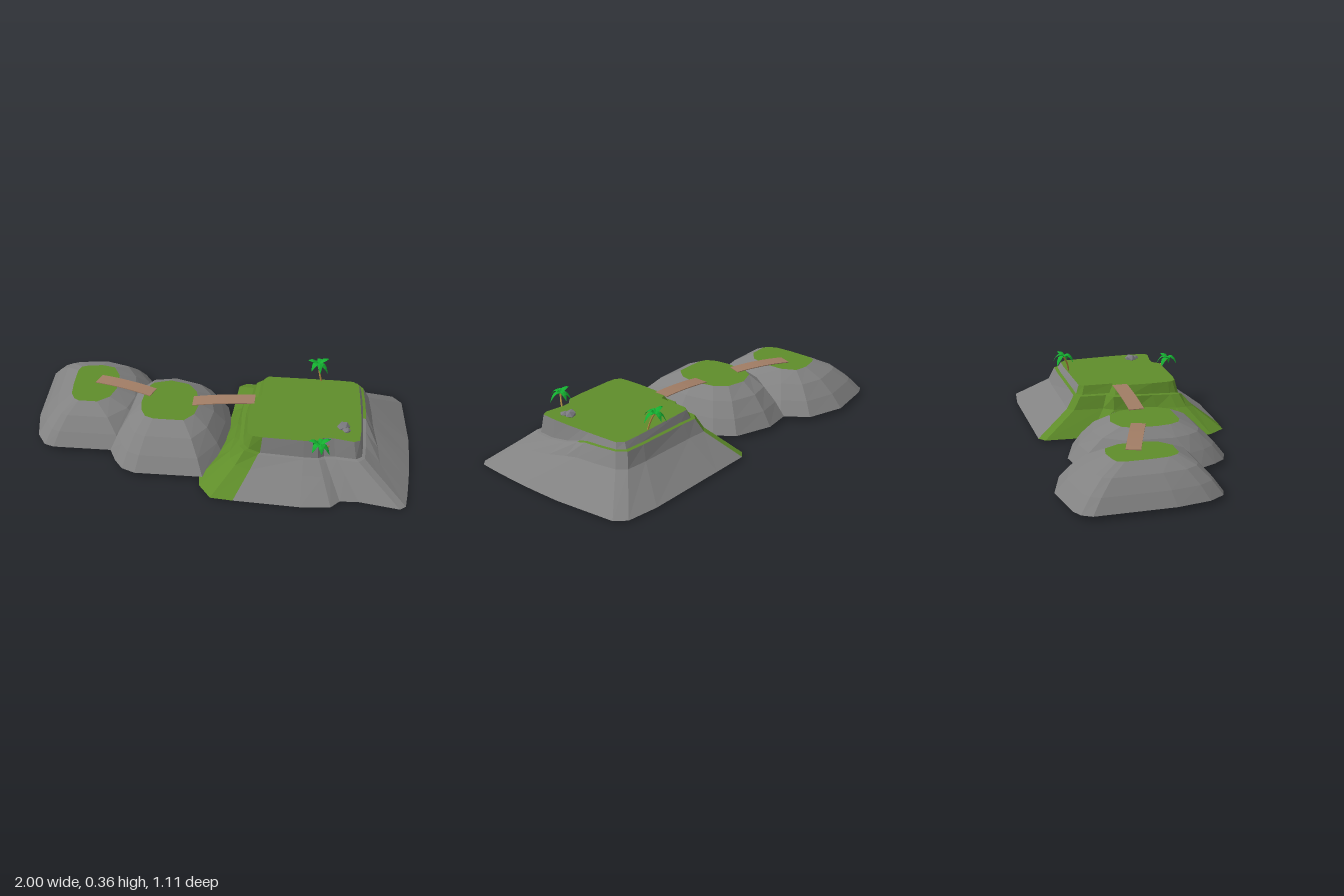
import * as THREE from 'three';

const mat = (name, color) => new THREE.MeshStandardMaterial({ name, color, flatShading: true, side: THREE.DoubleSide });
const rock = mat('rock', 0x828282);
const grass = mat('grass', 0x5f8d2a);
const wood = mat('bridgeWood', 0xa07c64);
const bark = mat('bark', 0xa8863f);
const leaf = mat('palmLeaf', 0x14ae30);
const boulderMat = mat('boulder', 0x7b7a80);

const V = (x, y, z) => new THREE.Vector3(x, y, z);

function add(group, name, geometry, material) {
  const mesh = new THREE.Mesh(geometry, material);
  mesh.name = name;
  group.add(mesh);
  return mesh;
}

function fromTriangles(points) {
  const g = new THREE.BufferGeometry().setFromPoints(points);
  g.computeVertexNormals();
  return g;
}

// Joins stacked closed rings; isGrass(ring, side) sorts faces by colour
function terrain(name, rings, isGrass) {
  const group = new THREE.Group();
  group.name = name;
  const faces = { rock: [], grass: [] }, n = rings[0].length;
  for (let r = 0; r < rings.length - 1; r++) {
    for (let i = 0; i < n; i++) {
      const j = (i + 1) % n;
      const a = rings[r][i], b = rings[r][j], c = rings[r + 1][j], d = rings[r + 1][i];
      faces[isGrass(r, i) ? 'grass' : 'rock'].push(a, b, c, a, c, d);
    }
  }
  const top = rings[rings.length - 1], cap = [];
  const mid = top.reduce((s, p) => s.add(p), V(0, 0, 0)).divideScalar(n);
  top.forEach((p, i) => cap.push(mid, p, top[(i + 1) % n]));
  add(group, 'rockSlopes', fromTriangles(faces.rock), rock);
  if (faces.grass.length) add(group, 'grassSlopes', fromTriangles(faces.grass), grass);
  add(group, 'grassTop', fromTriangles(cap), grass);
  return group;
}

// Rounded mound between a base outline and a top outline
function mound(name, base, top, y0, y1) {
  const steps = [[0, 0], [0.25, 0.38], [0.58, 0.75], [1, 1]];
  const rings = steps.map(([t, h]) => base.map(([x, z], i) => V(
    x + (top[i][0] - x) * t, y0 + (y1 - y0) * h, z + (top[i][1] - z) * t)).reverse());
  return terrain(name, rings, () => false);
}

// Large island: foot, knee, ledge, wall and plateau
function mainIsland() {
  const base = [[-0.08, 0.36], [-0.07, 0.44], [-0.005, 0.53], [0.11, 0.54], [0.45, 0.555], [0.6, 0.54],
    [0.645, 0.49], [0.74, 0.485], [0.945, 0.52], [0.975, 0.495], [0.985, 0.4], [0.992, 0.3], [0.998, 0.2],
    [1, 0.1], [1, -0.05], [0.97, -0.38], [0.92, -0.435], [0.75, -0.46], [0.3, -0.467], [0.1, -0.47],
    [0.06, -0.44], [0.045, -0.2], [0.03, -0.06], [0.01, 0.08], [-0.03, 0.22]];
  const ledge = [[0.12, 0.27, 0.187], [0.125, 0.32, 0.185], [0.15, 0.345, 0.175], [0.22, 0.35, 0.157],
    [0.45, 0.355, 0.15], [0.53, 0.352, 0.147], [0.56, 0.335, 0.143], [0.62, 0.335, 0.145],
    [0.73, 0.35, 0.15], [0.76, 0.32, 0.15], [0.765, 0.22, 0.15], [0.763, 0.12, 0.167], [0.761, 0.04, 0.192],
    [0.76, -0.01, 0.206], [0.755, -0.1, 0.21], [0.745, -0.2, 0.215], [0.71, -0.245, 0.215],
    [0.6, -0.25, 0.212], [0.3, -0.25, 0.205], [0.21, -0.25, 0.2], [0.175, -0.22, 0.2],
    [0.165, -0.08, 0.2], [0.12, -0.05, 0.2], [0.115, 0.06, 0.197], [0.12, 0.17, 0.192]];
  const top = [[0.16, 0.27], [0.165, 0.295], [0.19, 0.315], [0.24, 0.322], [0.45, 0.33], [0.52, 0.327],
    [0.55, 0.295], [0.6, 0.295], [0.7, 0.315], [0.73, 0.3], [0.735, 0.22], [0.735, 0.12], [0.732, 0.04],
    [0.73, -0.01], [0.725, -0.1], [0.72, -0.18], [0.69, -0.21], [0.6, -0.215], [0.3, -0.215],
    [0.235, -0.215], [0.215, -0.19], [0.21, -0.03], [0.18, -0.02], [0.16, 0.05], [0.155, 0.17]];
  const foot = base.map(([x, z]) => V(x, 0.009 - 0.006 * x - 0.006 * z, z));
  const rim = ledge.map(([x, z, y]) => V(x, y, z));
  const crown = top.map(([x, z]) => V(x, 0.248, z));
  const knee = foot.map((p, i) => {
    const k = p.clone().lerp(rim[i], 0.66 + (rim[i].y - 0.15) * 3);
    k.y = p.y + (rim[i].y - p.y) * 0.65;
    return k;
  });
  const wallFoot = rim.map((p, i) => {
    const w = p.clone().lerp(crown[i], 0.5);
    w.y = p.y + 0.003;
    return w;
  });
  const leftSide = i => i >= 19 || i <= 2;
  return terrain('mainIsland', [foot, knee, rim, wallFoot, crown],
    (r, i) => leftSide(i) || (r === 2 && i >= 12));
}

// Thin plank deck swept along an arched path
function bridge(name, a, mid, b, width) {
  const curve = new THREE.QuadraticBezierCurve3(a, mid, b);
  const g = new THREE.BoxGeometry(1, 0.004, width, 8, 1, 1);
  const p = g.attributes.position;
  const side = V(-(b.z - a.z), 0, b.x - a.x).normalize();
  for (let i = 0; i < p.count; i++) {
    const c = curve.getPoint(p.getX(i) + 0.5).addScaledVector(side, p.getZ(i));
    p.setXYZ(i, c.x, c.y + p.getY(i), c.z);
  }
  g.computeVertexNormals();
  const mesh = new THREE.Mesh(g, wood);
  mesh.name = name;
  return mesh;
}

// Palm with a bent trunk and broad pointed fronds, some raised and some drooping
function palm(name, root, bend, tip) {
  const group = new THREE.Group();
  group.name = name;
  const trunk = new THREE.TubeGeometry(new THREE.QuadraticBezierCurve3(root, bend, tip), 6, 0.005, 6);
  add(group, 'trunk', trunk, bark);
  const widths = [0.004, 0.013, 0.015, 0.011, 0.001];
  const habits = [[0.08, 0.1], [0.06, 0.1], [0.06, 0.04]];
  for (let k = 0; k < 7; k++) {
    const [rise, drop] = habits[k % 3];
    const g = new THREE.PlaneGeometry(2, 1, 2, 4).rotateX(-Math.PI / 2);
    const p = g.attributes.position;
    for (let i = 0; i < p.count; i++) {
      const t = p.getZ(i) + 0.5, s = p.getX(i);
      p.setXYZ(i, s * widths[Math.round(t * 4)],
        rise * t - drop * t * t - Math.abs(s) * 0.003, t * 0.057);
    }
    g.computeVertexNormals();
    const frond = add(group, 'frond', g, leaf);
    frond.position.copy(tip);
    frond.rotation.y = k * Math.PI * 2 / 7 + 0.2;
  }
  return group;
}

export function createModel() {
  const model = new THREE.Group();
  model.name = 'islands';
  model.add(mainIsland());

  model.add(mound('outerMound',
    [[-1, -0.45], [-0.97, -0.5], [-0.92, -0.523], [-0.68, -0.557], [-0.48, -0.49], [-0.39, -0.36],
      [-0.34, -0.1], [-0.37, 0.06], [-0.5, 0.215], [-0.87, 0.217], [-0.92, 0.2], [-0.97, 0.12], [-1, -0.05]],
    [[-0.815, -0.25], [-0.8, -0.285], [-0.77, -0.297], [-0.69, -0.31], [-0.62, -0.295], [-0.58, -0.22],
      [-0.575, -0.1], [-0.6, -0.02], [-0.66, 0.03], [-0.76, 0.03], [-0.785, 0.015], [-0.808, -0.03],
      [-0.815, -0.12]], 0.02, 0.195));
  model.add(mound('middleMound',
    [[-0.53, -0.2], [-0.4, -0.375], [-0.25, -0.392], [-0.05, -0.32], [0.02, -0.22], [0.07, 0],
      [0.04, 0.22], [-0.06, 0.388], [-0.41, 0.39], [-0.48, 0.36], [-0.525, 0.3], [-0.567, 0.21]],
    [[-0.41, -0.1], [-0.38, -0.15], [-0.29, -0.18], [-0.19, -0.155], [-0.14, -0.09], [-0.115, 0.02],
      [-0.13, 0.11], [-0.18, 0.17], [-0.34, 0.17], [-0.385, 0.15], [-0.41, 0.1], [-0.42, 0.03]], 0.02, 0.21));

  model.add(bridge('outerBridge', V(-0.685, 0.199, -0.172), V(-0.53, 0.222, -0.115), V(-0.37, 0.214, -0.055), 0.075));
  model.add(bridge('innerBridge', V(-0.15, 0.213, 0), V(0.02, 0.243, 0), V(0.178, 0.2475, 0), 0.08));

  model.add(palm('backPalm', V(0.53, 0.21, -0.205), V(0.505, 0.28, -0.2), V(0.5, 0.335, -0.235)));
  model.add(palm('frontPalm', V(0.575, 0.22, 0.325), V(0.55, 0.225, 0.36), V(0.53, 0.27, 0.38)));

  // Boulder on the plateau: a main block with a smaller one leaning on it
  for (const [x, z, w, h, d] of [[0.645, 0.194, 0.036, 0.026, 0.03], [0.66, 0.222, 0.022, 0.014, 0.026]]) {
    const boulder = add(model, 'boulder', new THREE.IcosahedronGeometry(1), boulderMat);
    boulder.scale.set(w, h, d);
    boulder.rotation.y = 0.5;
    boulder.position.set(x, 0.25, z);
  }
  return model;
}
